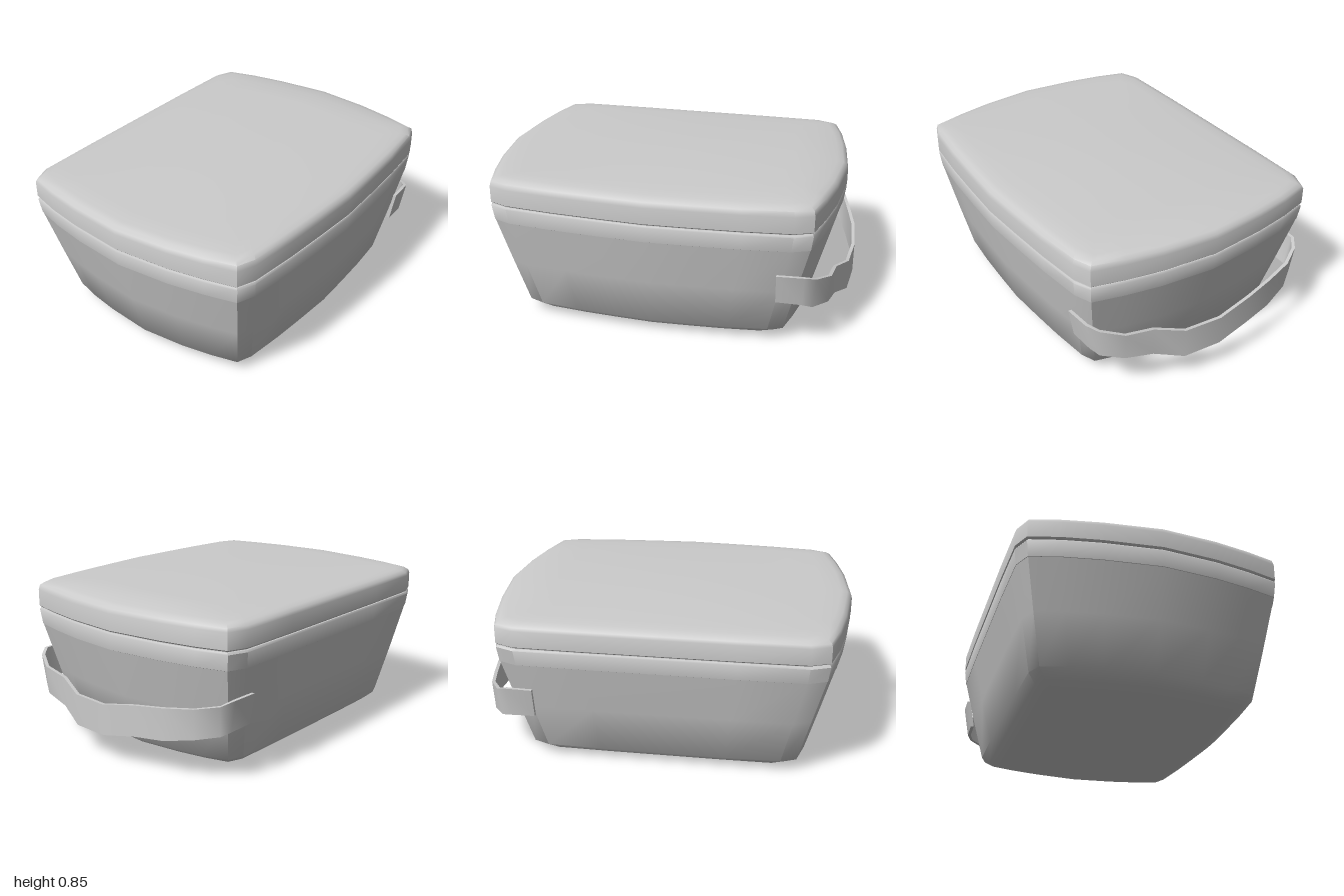
import * as THREE from 'three';
import { toCreasedNormals } from 'three/addons/utils/BufferGeometryUtils.js';

const CX = -0.035, CZ = -0.005, HX = 0.965, HZ = 0.74;

// Plan outline, centred: straight back, bowed front and sides (counter-clockwise from above)
const half = [
  [0, 0.74], [0.25, 0.728], [0.5, 0.712], [0.755, 0.685], [0.85, 0.647],
  [0.895, 0.48], [0.935, 0.28], [0.965, -0.02], [0.935, -0.33], [0.9, -0.53],
  [0.855, -0.695], [0.755, -0.735], [0.4, -0.74],
];
const outline = [...half, [0, -0.74], ...half.slice(1).reverse().map(([x, z]) => [-x, z])];

// Skin closed rings of points; the ends are closed with fans
function loft(rings, crease = 0.75) {
  const n = rings[0].length, pos = rings.flat(2), idx = [];
  for (let i = 0; i < rings.length - 1; i++) {
    for (let j = 0; j < n; j++) {
      const k = (j + 1) % n;
      const a = i * n + j, b = i * n + k, c = b + n, d = a + n;
      idx.push(a, b, c, a, c, d);
    }
  }
  for (const end of [0, rings.length - 1]) {
    const ring = rings[end], centre = pos.length / 3;
    for (let c = 0; c < 3; c++) pos.push(ring.reduce((s, p) => s + p[c], 0) / n);
    for (let j = 0; j < n; j++) {
      const a = end * n + j, b = end * n + (j + 1) % n;
      if (end) idx.push(centre, a, b); else idx.push(centre, b, a);
    }
  }
  const g = new THREE.BufferGeometry();
  g.setAttribute('position', new THREE.Float32BufferAttribute(pos, 3));
  g.setIndex(idx);
  return toCreasedNormals(g, crease);
}

// Horizontal ring with half-widths hx, hz at height y
const ring = (y, hx, hz, rise = () => 0) => outline.map(([x, z]) => {
  const px = CX + x * hx / HX, pz = CZ + z * hz / HZ;
  return [px, y + rise(px, pz), pz];
});

export function createModel() {
  const group = new THREE.Group();
  const material = new THREE.MeshStandardMaterial({ color: 0xcccccc });
  const add = (name, geometry) => {
    const mesh = new THREE.Mesh(geometry, material);
    mesh.name = name;
    group.add(mesh);
  };

  // Tapered tub with a rounded bottom edge
  add('body', loft([
    ring(0, 0.63, 0.47), ring(0.008, 0.68, 0.52), ring(0.03, 0.745, 0.575),
    ring(0.07, 0.805, 0.62), ring(0.33, 0.878, 0.677), ring(0.6, 0.952, 0.732),
  ]));

  // Raised band below the opening
  add('rimBand', loft([
    ring(0.588, 0.945, 0.725), ring(0.592, 0.952, 0.732),
    ring(0.675, 0.964, 0.742), ring(0.685, 0.958, 0.736),
  ]));
  add('lidSeam', loft([ring(0.68, 0.95, 0.727), ring(0.7, 0.95, 0.727)]));

  // Lid with a soft edge and a slightly lopsided crown
  const tilt = (x, z) => 0.008 * z;
  const lid = [
    ring(0.69, 0.958, 0.735), ring(0.697, 0.965, 0.742),
    ring(0.785, 0.965, 0.742), ring(0.808, 0.958, 0.735, tilt),
    ring(0.822, 0.938, 0.715, tilt), ring(0.829, 0.905, 0.685, tilt),
  ];
  const crown = (x, z) => tilt(x, z)
    + 0.024 * Math.max(0, 1 - ((x - 0.2) / 1.1) ** 2) * Math.max(0, 1 - (z / 0.7) ** 2);
  for (const s of [0.84, 0.7, 0.5, 0.3, 0.1]) lid.push(ring(0.83, HX * s, HZ * s, crown));
  add('lid', loft(lid));

  // Sagging carry strap round the +x side: x, top y, bottom y, z, inward lean of lower edge
  const path = [
    [0.64, 0.445, 0.28, 0.66, 0.03], [0.78, 0.445, 0.275, 0.65, 0.03],
    [0.835, 0.425, 0.255, 0.61, 0.02], [0.9, 0.395, 0.24, 0.5, 0.01],
    [0.915, 0.37, 0.21, 0.34, 0], [0.972, 0.327, 0.157, 0.18, 0],
    [0.99, 0.327, 0.16, -0.03, 0], [0.975, 0.365, 0.2, -0.23, 0],
    [0.94, 0.38, 0.21, -0.4, 0], [0.9, 0.4, 0.24, -0.56, 0.01],
    [0.835, 0.42, 0.26, -0.67, 0.02], [0.78, 0.445, 0.275, -0.71, 0.03],
    [0.64, 0.445, 0.28, -0.715, 0.03],
  ];
  const T = 0.009;
  add('strap', loft(path.map(([x, yt, yb, z, lean], i) => {
    const p = path[Math.max(0, i - 1)], q = path[Math.min(path.length - 1, i + 1)];
    const len = Math.hypot(q[0] - p[0], q[3] - p[3]);
    const nx = -(q[3] - p[3]) / len, nz = (q[0] - p[0]) / len;
    const at = (y, o) => [x + nx * o, y, z + nz * o];
    return [at(yt, T), at(yb, T - lean), at(yb, -T - lean), at(yt, -T)];
  }), 0.6));

  return group;
}
